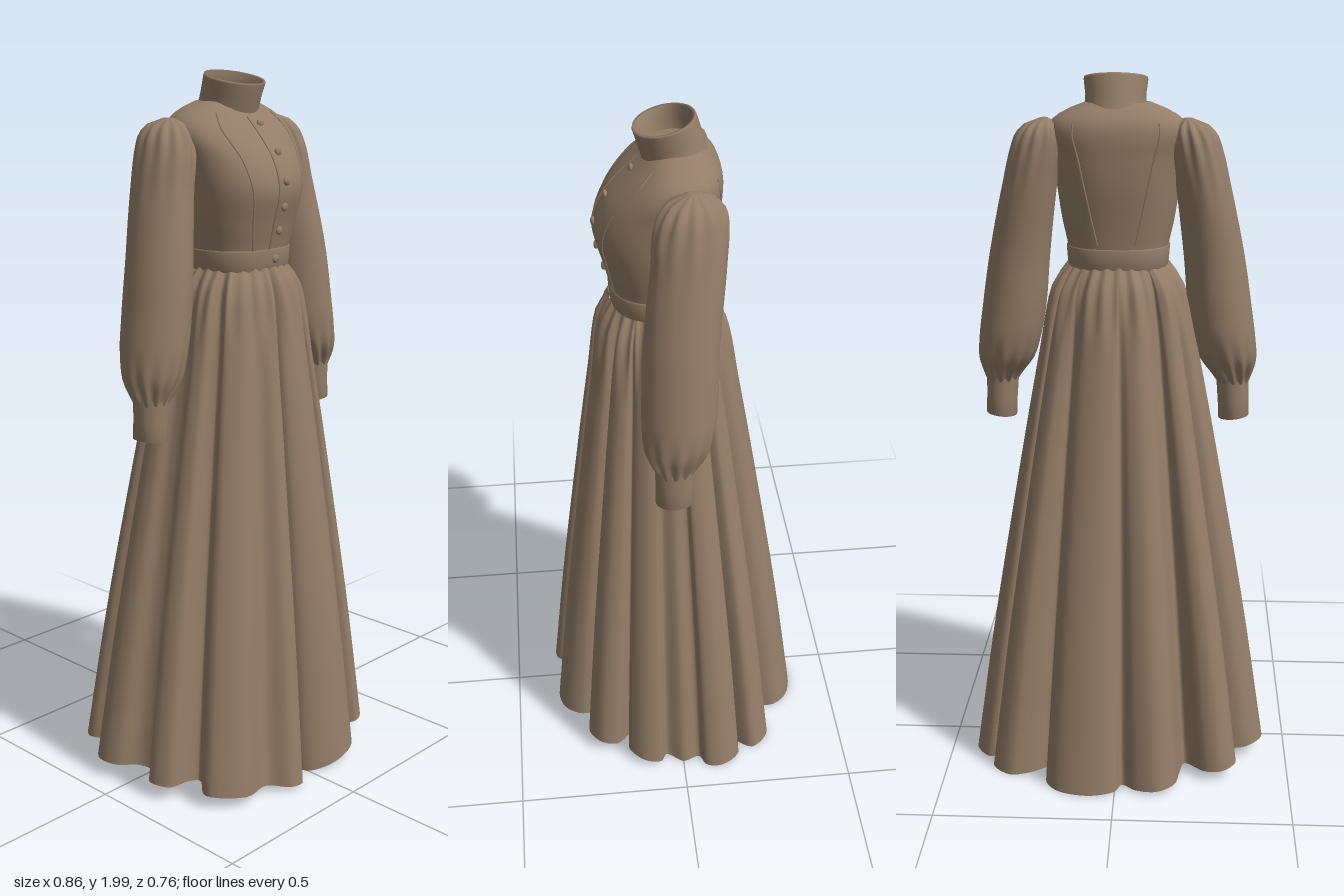
import * as THREE from 'three';

const fabric = new THREE.MeshStandardMaterial({ color: 0x937d68 });
fabric.name = 'brown fabric';
const TAU = Math.PI * 2;
const V = (x, y, z) => new THREE.Vector3(x, y, z);

// Smooth lookup of table rows [key, ...values], keys ascending
function track(rows) {
  const n = rows[0].length - 1;
  const it = new THREE.CubicInterpolant(rows.map(r => r[0]), rows.flatMap(r => r.slice(1)), n);
  return k => Array.from(it.evaluate(k));
}

// Skin over closed rings, with optional flat caps
function loft(rings, capFirst, capLast) {
  const pos = [], idx = [], n = rings[0].length;
  rings.forEach(r => r.forEach(p => pos.push(p.x, p.y, p.z)));
  for (let i = 0; i < rings.length - 1; i++) {
    for (let j = 0; j < n; j++) {
      const a = i * n + j, b = i * n + (j + 1) % n;
      idx.push(a, b, a + n, b, b + n, a + n);
    }
  }
  const cap = (ring, up) => {
    const base = pos.length / 3, c = V(0, 0, 0);
    ring.forEach(p => { pos.push(p.x, p.y, p.z); c.addScaledVector(p, 1 / n); });
    pos.push(c.x, c.y, c.z);
    for (let j = 0; j < n; j++) {
      const a = base + j, b = base + (j + 1) % n;
      idx.push(base + n, up ? a : b, up ? b : a);
    }
  };
  if (capFirst) cap(rings[0], false);
  if (capLast) cap(rings[rings.length - 1], true);
  const g = new THREE.BufferGeometry();
  g.setAttribute('position', new THREE.Float32BufferAttribute(pos, 3));
  g.setIndex(idx);
  g.computeVertexNormals();
  return g;
}

const ring = (n, fn) => Array.from({ length: n }, (_, j) => fn(j / n * TAU));
const span = (a, b, n, fn) => Array.from({ length: n + 1 }, (_, i) => fn(a + (b - a) * i / n));

// Hem outline: uneven rounded folds, [x, z]
const HEM = [
  [-.025, .25], [0, .33], [.08, .37], [.17, .355], [.205, .3], [.18, .225], [.23, .245], [.28, .285],
  [.335, .25], [.34, .2], [.3, .16], [.36, .165], [.405, .12], [.405, .07], [.375, .05], [.4, 0],
  [.385, -.05], [.42, -.07], [.425, -.12], [.38, -.175], [.33, -.16], [.365, -.22], [.31, -.275],
  [.25, -.26], [.2, -.23], [.2, -.31], [.16, -.36], [.07, -.38], [0, -.355], [-.02, -.32], [-.06, -.355],
  [-.12, -.372], [-.17, -.34], [-.185, -.28], [-.2, -.225], [-.26, -.28], [-.31, -.285], [-.35, -.235],
  [-.3, -.16], [-.38, -.155], [-.43, -.1], [-.42, -.04], [-.37, 0], [-.36, .05], [-.42, .1], [-.4, .16],
  [-.33, .165], [-.3, .18], [-.355, .26], [-.27, .335], [-.17, .32], [-.12, .37], [-.07, .37], [-.045, .3],
];

function skirtGeometry() {
  const curve = new THREE.CatmullRomCurve3(HEM.map(([x, z]) => V(x, 0, z)), true);
  const hem = Array.from({ length: 270 }, (_, i) => curve.getPoint(i / 270));
  const flare = track([[0, 1], [.4, .8], [.8, .57], [1.2, .325], [1.36, .215], [1.43, .135], [1.48, 0]]);
  return loft(span(0, 1, 36, t => hem.map(h => {
    const a = Math.atan2(h.x / .42, h.z / .37);
    // the hem lifts at the right side and the front left
    const low = .01 + .11 * Math.max(0, -h.x) + .55 * Math.max(0, h.x) * Math.max(0, h.z);
    const y = low + (1.48 - low) * Math.pow(t, .8);
    const f = flare(1.48 * Math.pow(t, .8))[0];
    // fine gathers just under the waistband
    const gather = .007 * Math.sin(a * 26) * Math.exp(-Math.pow((y - 1.4) / .1, 2));
    const wx = (.138 + gather) * Math.sin(a) + .006, wz = .033 + (.132 + gather) * Math.cos(a);
    return V(wx + (h.x - wx) * f, y, wz + (h.z - wz) * f);
  })), true, false);
}

// Bodice rows: y, half width, front z, back z
const bodiceAt = track([
  [1.44, .133, .155, -.095], [1.52, .14, .163, -.1], [1.6, .157, .182, -.11], [1.7, .172, .203, -.125],
  [1.78, .182, .175, -.13], [1.84, .192, .125, -.13], [1.875, .178, .088, -.12], [1.9, .14, .062, -.1],
  [1.92, .09, .04, -.075],
]);
function bodicePoint(a, y, grow = 0) {
  const [w, f, b] = bodiceAt(y);
  const s = Math.sin(a), c = Math.cos(a), e = .84;
  return V(
    .006 + Math.sign(s) * Math.abs(s) ** e * (w + grow), y,
    (f + b) / 2 + Math.sign(c) * Math.abs(c) ** e * ((f - b) / 2 + grow));
}

// Sleeve rows: y, centre x, half width, centre z, half depth, pleat strength
const sleeveAt = track([
  [1.13, .34, .043, .025, .048, .04], [1.16, .335, .055, .022, .062, .1], [1.2, .325, .076, .016, .084, .05],
  [1.26, .313, .087, .01, .097, .01], [1.35, .298, .09, .006, .1, 0], [1.5, .279, .085, 0, .098, 0],
  [1.7, .245, .075, -.02, .095, .01], [1.8, .224, .069, -.028, .09, .04], [1.84, .215, .06, -.033, .077, .07],
  [1.865, .208, .042, -.036, .055, .07], [1.88, .202, .01, -.038, .015, 0],
]);
// The right arm hangs slightly closer to the body
const armX = (side, x) => side > 0 ? x + .003 : .016 - x;

function sleeveGeometry(side) {
  return loft(span(1.13, 1.88, 44, y => ring(72, a => {
    const [cx, hx, cz, hz, p] = sleeveAt(y);
    const k = 1 + p * Math.cos(a * 12);
    return V(armX(side, cx) + hx * k * Math.sin(a), y, cz + hz * k * Math.cos(a));
  })), true, true);
}

// Open cuff, leaning slightly outward, recessed at the wrist
function cuffGeometry(side) {
  const rows = [[1.07, .034, .04], [1.03, .034, .041], [1.03, .044, .051], [1.08, .044, .05], [1.145, .046, .052]];
  return loft(rows.map(([y, hx, hz]) => ring(32, a => {
    const x = hx * Math.sin(a);
    return V(armX(side, .341 + (1.09 - y) * .05) + x, y + side * x * .12, .025 + hz * Math.cos(a));
  })), true, true);
}

// Standing collar rows: y, tilt, radius x, radius z, centre z
function collarGeometry() {
  const rows = [
    [1.85, -.01, .09, .095, -.03], [1.888, .004, .083, .086, -.012], [1.94, .014, .083, .082, .004],
    [1.977, .017, .088, .081, .016], [1.983, .017, .087, .079, .017], [1.981, .017, .079, .071, .017],
    [1.95, .012, .074, .071, .008], [1.922, .006, .073, .071, 0],
  ];
  return loft(rows.map(([y, t, rx, rz, cz]) =>
    ring(40, a => V(.012 + rx * Math.sin(a), y - t * Math.cos(a), cz + rz * Math.cos(a)))), false, true);
}

export function createModel() {
  const dress = new THREE.Group();
  dress.name = 'dress';
  const add = (name, geometry) => {
    const m = new THREE.Mesh(geometry, fabric);
    m.name = name;
    dress.add(m);
    return m;
  };

  add('skirt', skirtGeometry());
  add('bodice', loft(span(1.44, 1.92, 32, y => ring(64, a => bodicePoint(a, y))), false, true));
  add('collar', collarGeometry());

  // Waistband
  const band = [[1.47, 0], [1.474, .005], [1.5, .006], [1.526, .004], [1.53, 0]];
  add('waistband', loft(band.map(([y, g]) => ring(64, a => bodicePoint(a, y, g))), false, false));

  // Sleeves with cuffs
  for (const [side, label] of [[1, 'left'], [-1, 'right']]) {
    add(label + 'Sleeve', sleeveGeometry(side));
    add(label + 'Cuff', cuffGeometry(side));
  }

  // Raised seams on front and back of the bodice
  const seam = (name, a0, a1, y0, y1) => {
    const path = new THREE.CatmullRomCurve3(span(0, 1, 10, t => bodicePoint(a0 + (a1 - a0) * t, y0 + (y1 - y0) * t)));
    add(name, new THREE.TubeGeometry(path, 24, .003, 6));
  };
  seam('frontPlacketSeam', -.05, -.05, 1.53, 1.88);
  for (const s of [1, -1]) {
    seam('frontTuck', s * .42, s * .66, 1.53, 1.89);
    seam('backTuck', Math.PI - s * .3, Math.PI - s * .62, 1.54, 1.87);
  }

  // Buttons down the front
  for (const y of [1.502, 1.58, 1.645, 1.715, 1.79, 1.862]) {
    const button = add('button', new THREE.SphereGeometry(.012, 16, 10));
    button.position.copy(bodicePoint(.05, y, y < 1.53 ? .006 : .001));
    button.scale.z = .6;
  }
  return dress;
}
